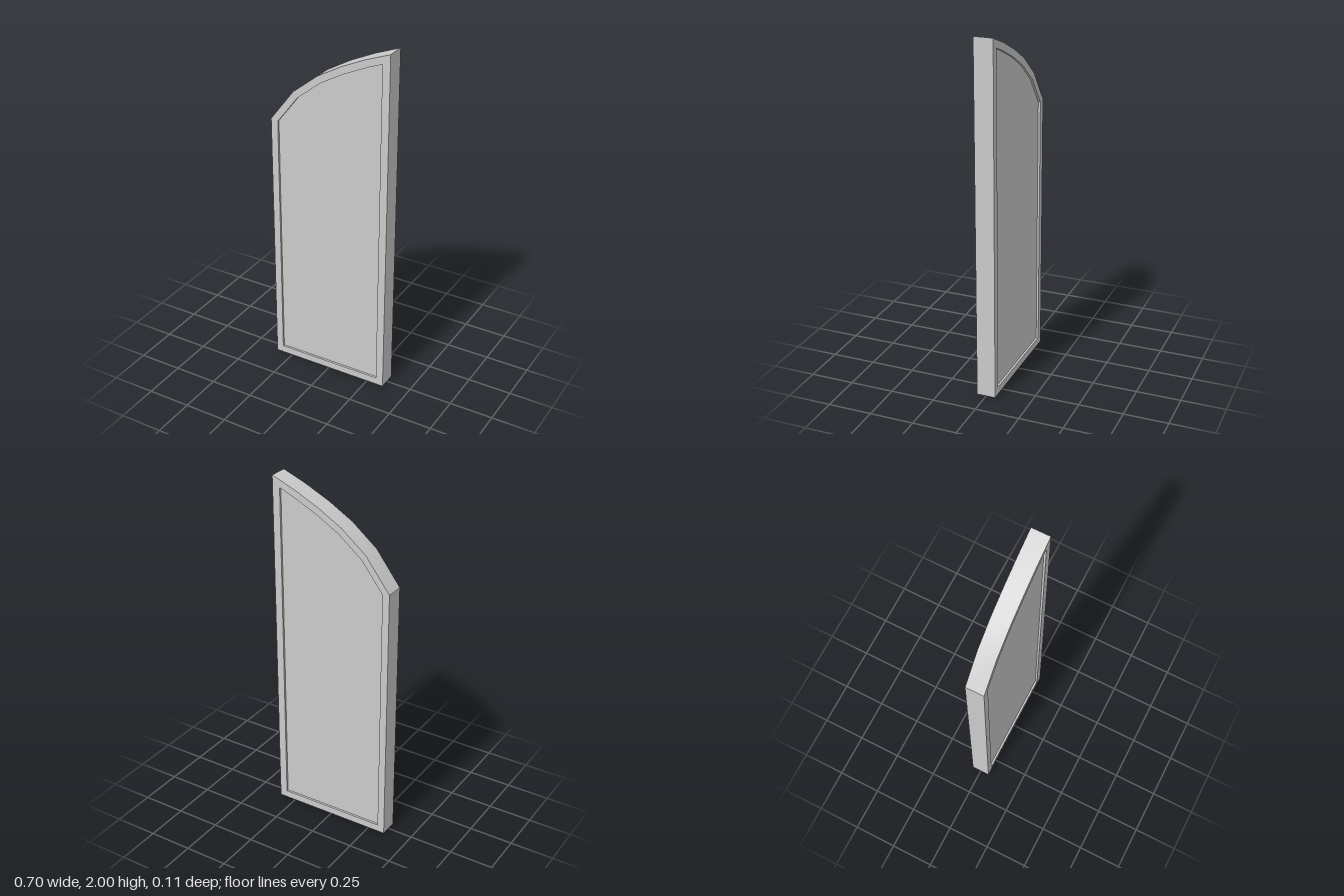
import * as THREE from 'three';
import { toCreasedNormals } from 'three/addons/utils/BufferGeometryUtils.js';

const DEPTH = 0.106;
const RECESS = 0.012;

// Arched outlines, counter-clockwise from the lower left corner
const OUTER = [
  [-0.352, 0], [0.352, 0], [0.352, 2], [0.212, 1.945],
  [0.073, 1.88], [-0.066, 1.8], [-0.212, 1.683], [-0.352, 1.5],
];
const INNER = [
  [-0.311, 0.042], [0.308, 0.042], [0.308, 1.94], [0.228, 1.908],
  [0.087, 1.842], [-0.047, 1.765], [-0.187, 1.653], [-0.311, 1.492],
];

const toPoints = (list) => list.map(([x, y]) => new THREE.Vector2(x, y));

// Extrude a shape centred on z = 0, smooth along the arch and sharp at corners
function slab(name, shape, depth, material) {
  const geometry = new THREE.ExtrudeGeometry(shape, { depth, bevelEnabled: false });
  geometry.translate(0, 0, -depth / 2);
  const mesh = new THREE.Mesh(toCreasedNormals(geometry, 0.5), material);
  mesh.name = name;
  return mesh;
}

export function createModel() {
  const group = new THREE.Group();
  group.name = 'archedPanel';
  const material = new THREE.MeshStandardMaterial({ color: 0xcccccc });

  // Border frame with an opening
  const frame = new THREE.Shape(toPoints(OUTER));
  frame.holes.push(new THREE.Path(toPoints(INNER)));
  group.add(slab('frame', frame, DEPTH, material));

  // Infill set back slightly from both faces
  const infill = new THREE.Shape(toPoints(INNER));
  group.add(slab('infillPanel', infill, DEPTH - 2 * RECESS, material));

  return group;
}
